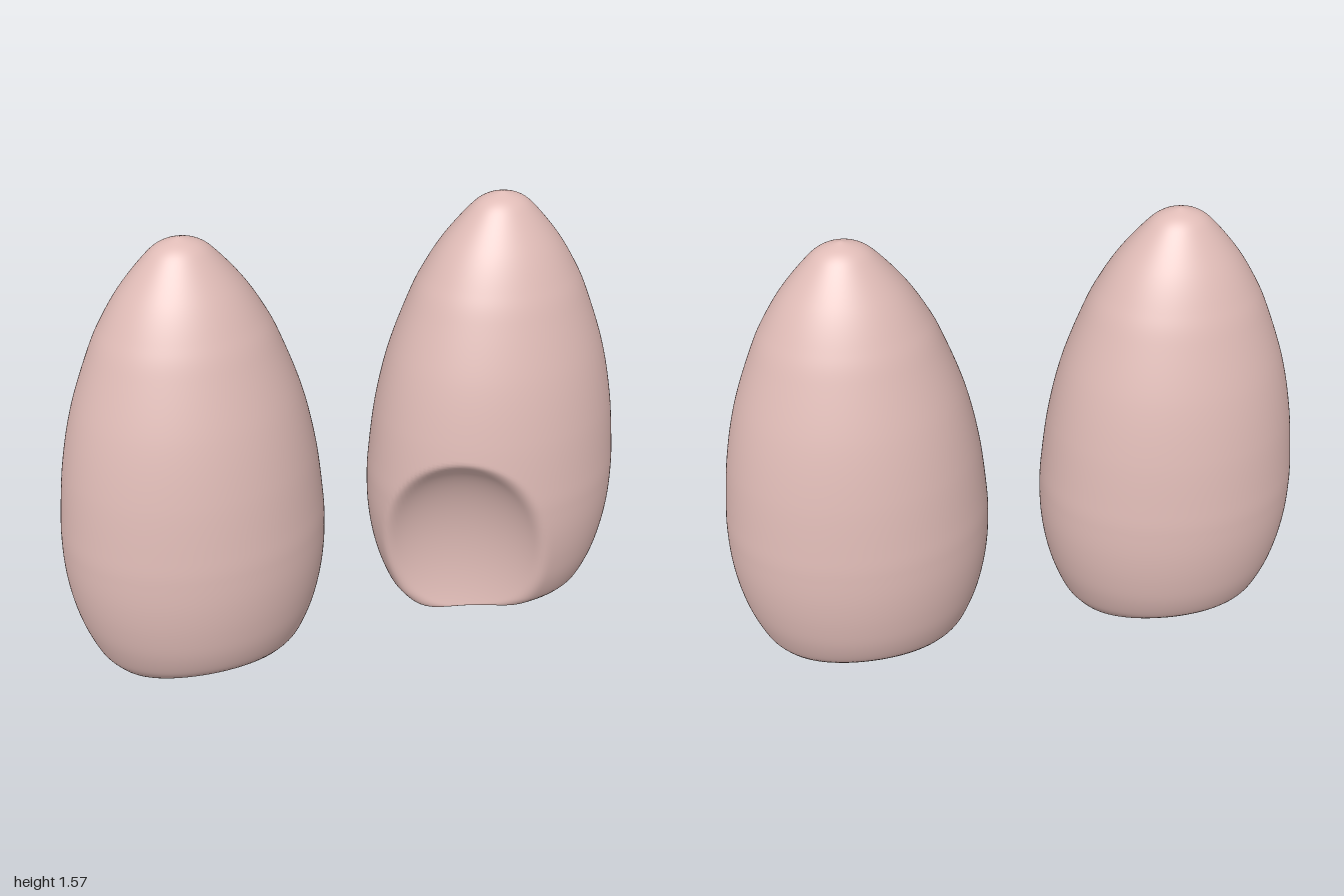
import * as THREE from 'three';
import { mergeVertices } from 'three/addons/utils/BufferGeometryUtils.js';

const DEPTH_RATIO = 0.835; // oval cross-section
const RIM = 0.27;          // radius of the lower rim

// Half outline [radius, height]: hollow base, rounded rim, widest belly, blunt apex
const PROFILE = [
  [0, 0.085], [0.1, 0.073], [0.2, 0.035], [0.25, 0.009], [0.275, 0.003], [0.305, 0.018],
  [0.335, 0.05], [0.368, 0.1], [0.407, 0.2], [0.432, 0.3], [0.446, 0.4], [0.45, 0.5],
  [0.446, 0.6], [0.424, 0.8], [0.381, 1.0], [0.311, 1.2], [0.264, 1.3], [0.203, 1.4],
  [0.122, 1.5], [0.07, 1.545], [0, 1.568],
];

function lungGeometry() {
  const curve = new THREE.SplineCurve(PROFILE.map(([r, y]) => new THREE.Vector2(r, y)));
  const points = curve.getSpacedPoints(180);
  points.forEach((p) => { p.x = Math.max(0, p.x); });
  const geo = new THREE.LatheGeometry(points, 160);
  const pos = geo.attributes.position;
  for (let i = 0; i < pos.count; i++) {
    const x = pos.getX(i), y = pos.getY(i), z = pos.getZ(i);
    const r = Math.hypot(x, z);
    // The rim rises at the front and back
    const side = r > 1e-6 ? (z / r) ** 2 : 0;
    const fade = Math.max(0, 1 - y / 0.25) ** 2 * Math.min(1, r / RIM) ** 2;
    pos.setXYZ(i, x, y + 0.055 * side * fade, z * DEPTH_RATIO);
  }
  return geo;
}

// Press an ellipsoid hollow with a softened edge into the inner front side
function carveNotch(geo) {
  const n = new THREE.Vector3(-0.6, 0, 0.8); // facing of the hollow
  const t = new THREE.Vector3(0.8, 0, 0.6);  // across the hollow
  const centre = new THREE.Vector3(0, 0.22, 0).addScaledVector(n, 0.46).addScaledVector(t, 0.02);
  const across = 0.38, tall = 0.52, deep = 0.26, soft = 0.04;
  const pos = geo.attributes.position;
  const p = new THREE.Vector3(), d = new THREE.Vector3();
  for (let i = 0; i < pos.count; i++) {
    p.fromBufferAttribute(pos, i);
    d.subVectors(p, centre);
    const w = d.dot(n);
    const k = 1 - (d.dot(t) / across) ** 2 - (d.y / tall) ** 2;
    if (k <= 0) continue;
    const floor = -deep * Math.sqrt(k);
    const blend = Math.max(0, 1 - Math.abs(w - floor) / soft);
    p.addScaledVector(n, Math.min(w, floor) - blend * blend * soft / 4 - w);
    pos.setXYZ(i, p.x, p.y, p.z);
  }
}

// Weld the seam and smooth the normals
function finish(geo) {
  geo.deleteAttribute('uv');
  geo.deleteAttribute('normal');
  const welded = mergeVertices(geo, 1e-5);
  welded.computeVertexNormals();
  return welded;
}

export function createModel() {
  const group = new THREE.Group();
  group.name = 'lungs';
  const material = new THREE.MeshStandardMaterial({ color: 0xe0bcb7 });

  for (const [name, x, notched] of [['rightLung', -0.55, false], ['leftLung', 0.55, true]]) {
    const geo = lungGeometry();
    if (notched) carveNotch(geo);
    const lung = new THREE.Mesh(finish(geo), material);
    lung.name = name;
    lung.position.x = x;
    group.add(lung);
  }
  return group;
}
